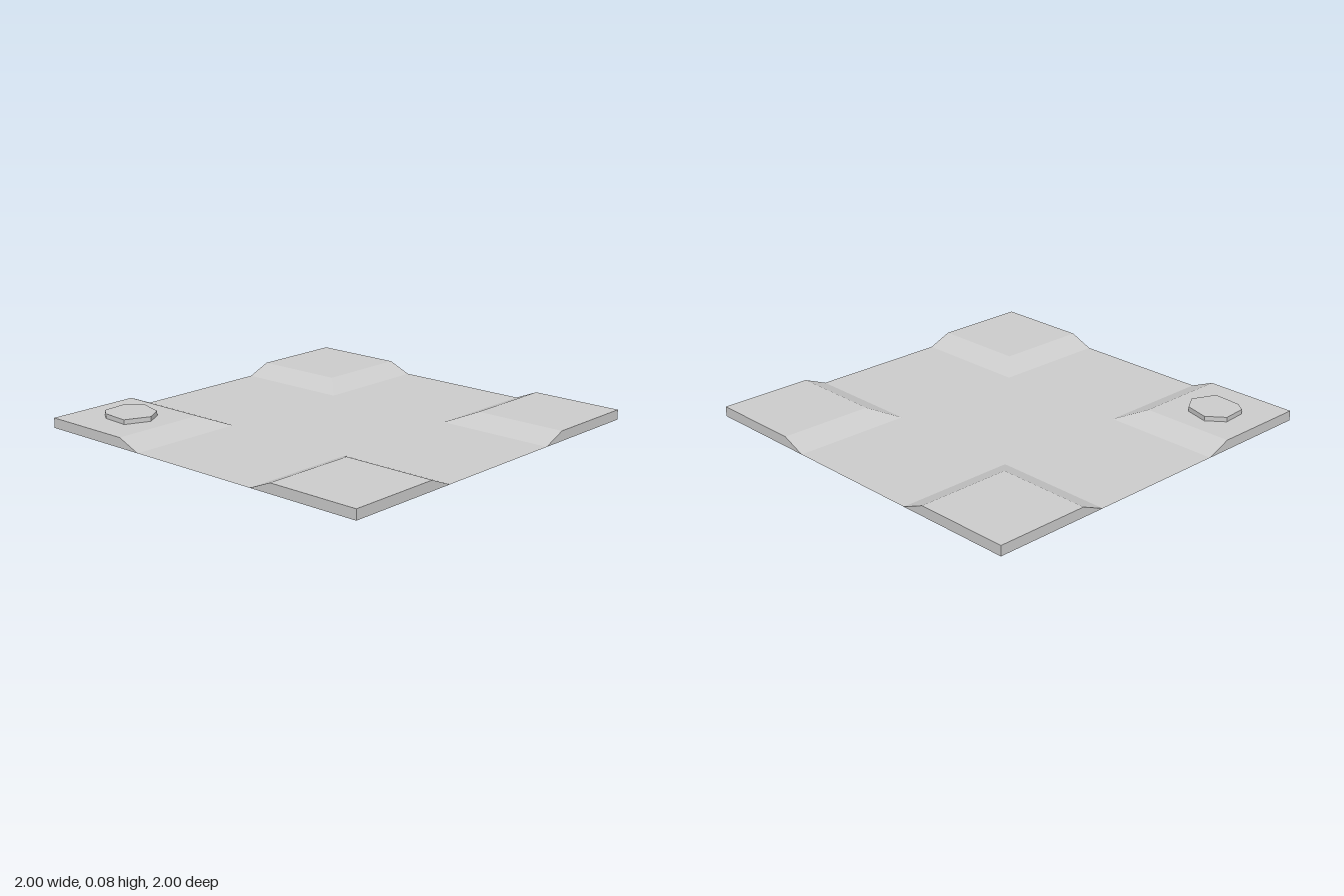
import * as THREE from 'three';

const INNER = 0.375; // foot of each slope
const CREST = 0.5;   // top of each slope
const EDGE = 1;
const HEIGHT = 0.052;

// Flat-shaded faces from a list of four-cornered loops
function facesFromQuads(quads) {
  const pos = [];
  for (const [a, b, c, d] of quads) pos.push(...a, ...b, ...c, ...a, ...c, ...d);
  const geo = new THREE.BufferGeometry();
  geo.setAttribute('position', new THREE.Float32BufferAttribute(pos, 3));
  geo.computeVertexNormals();
  return geo;
}

// Flat outline in x and z, as a shape that lies down when rotated by -90 degrees
const groundShape = (points) => new THREE.Shape(points.map(([x, z]) => new THREE.Vector2(x, -z)));

export function createModel() {
  const group = new THREE.Group();
  const stone = new THREE.MeshStandardMaterial({ name: 'stoneGrey', color: 0xcccccc, side: THREE.DoubleSide });

  const add = (name, geo) => {
    const mesh = new THREE.Mesh(geo, stone);
    mesh.name = name;
    group.add(mesh);
    return mesh;
  };

  // Sunken cross-shaped floor
  const i = INNER, e = EDGE;
  const cross = groundShape([
    [-i, e], [i, e], [i, i], [e, i], [e, -i], [i, -i],
    [i, -e], [-i, -e], [-i, -i], [-e, -i], [-e, i], [-i, i],
  ]);
  add('crossFloor', new THREE.ShapeGeometry(cross).rotateX(-Math.PI / 2));

  // Raised corner: plateau, two slopes meeting in a mitre, two outer walls, open below
  const foot = [INNER, 0, INNER], crest = [CREST, HEIGHT, CREST];
  const crestX = [EDGE, HEIGHT, CREST], footX = [EDGE, 0, INNER];
  const crestZ = [CREST, HEIGHT, EDGE], footZ = [INNER, 0, EDGE];
  const tip = [EDGE, HEIGHT, EDGE], tipBase = [EDGE, 0, EDGE];
  const corner = facesFromQuads([
    [crest, crestZ, tip, crestX],
    [foot, crest, crestX, footX],
    [foot, footZ, crestZ, crest],
    [footX, crestX, tip, tipBase],
    [footZ, tipBase, tip, crestZ],
  ]);
  ['frontLeft', 'backLeft', 'backRight', 'frontRight'].forEach((side, k) => {
    add(side + 'RaisedCorner', corner).rotation.y = (k * Math.PI) / 2;
  });

  // Flat irregular stone on the front right corner
  const outline = groundShape([
    [-0.78, 0.595], [-0.865, 0.665], [-0.855, 0.795], [-0.8, 0.835],
    [-0.65, 0.845], [-0.595, 0.72], [-0.65, 0.63],
  ]);
  const slab = new THREE.ExtrudeGeometry(outline, { depth: 0.024, bevelEnabled: false });
  add('flatStone', slab.rotateX(-Math.PI / 2).translate(0, HEIGHT + 0.0005, 0));

  return group;
}
